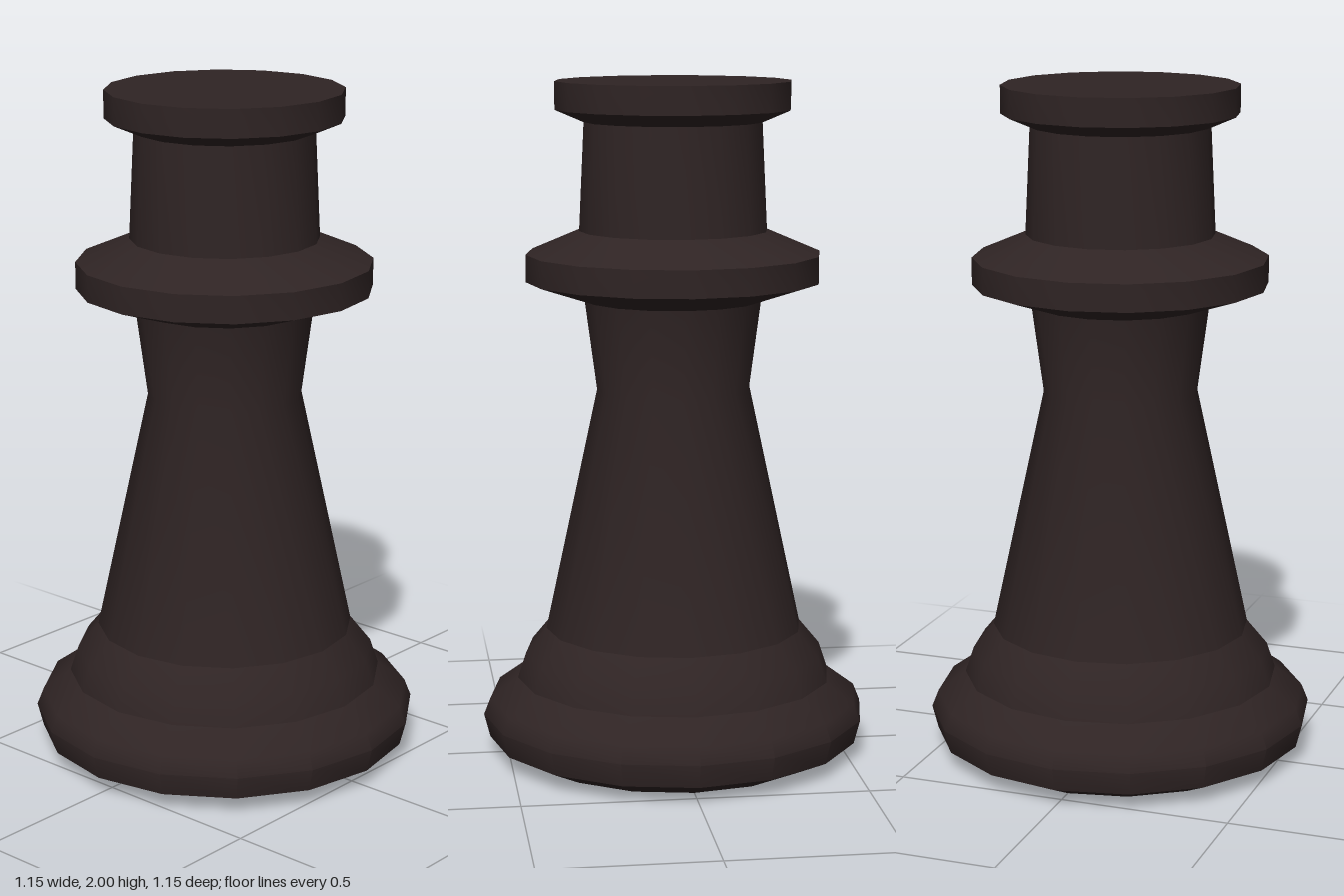
import * as THREE from 'three';
import { toCreasedNormals } from 'three/addons/utils/BufferGeometryUtils.js';

const SIDES = 16;

// Turned sections from bottom to top: name and [radius, height] profile.
const SECTIONS = [
  ['foot', [[0, 0], [0.45, 0], [0.555, 0.05], [0.573, 0.12], [0.553, 0.17], [0.47, 0.23]]],
  ['shoulder', [[0.47, 0.23], [0.445, 0.305], [0.383, 0.38]]],
  ['body', [[0.383, 0.38], [0.227, 1.1], [0.262, 1.363]]],
  ['collar', [[0.262, 1.363], [0.434, 1.42], [0.434, 1.5], [0.277, 1.567]]],
  ['neck', [[0.277, 1.567], [0.262, 1.882]]],
  ['head', [[0.262, 1.882], [0.346, 1.918], [0.346, 2], [0, 2]]],
];

export function createModel() {
  const group = new THREE.Group();
  group.name = 'chessPiece';
  const darkWood = new THREE.MeshStandardMaterial({ color: 0x2f2424 });
  darkWood.name = 'darkWood';

  for (const [name, profile] of SECTIONS) {
    const points = profile.map(([r, y]) => new THREE.Vector2(r, y));
    // Smooth around the turning, sharp at the profile's strong corners.
    const geometry = toCreasedNormals(new THREE.LatheGeometry(points, SIDES), 0.7);
    const mesh = new THREE.Mesh(geometry, darkWood);
    mesh.name = name;
    group.add(mesh);
  }
  return group;
}
